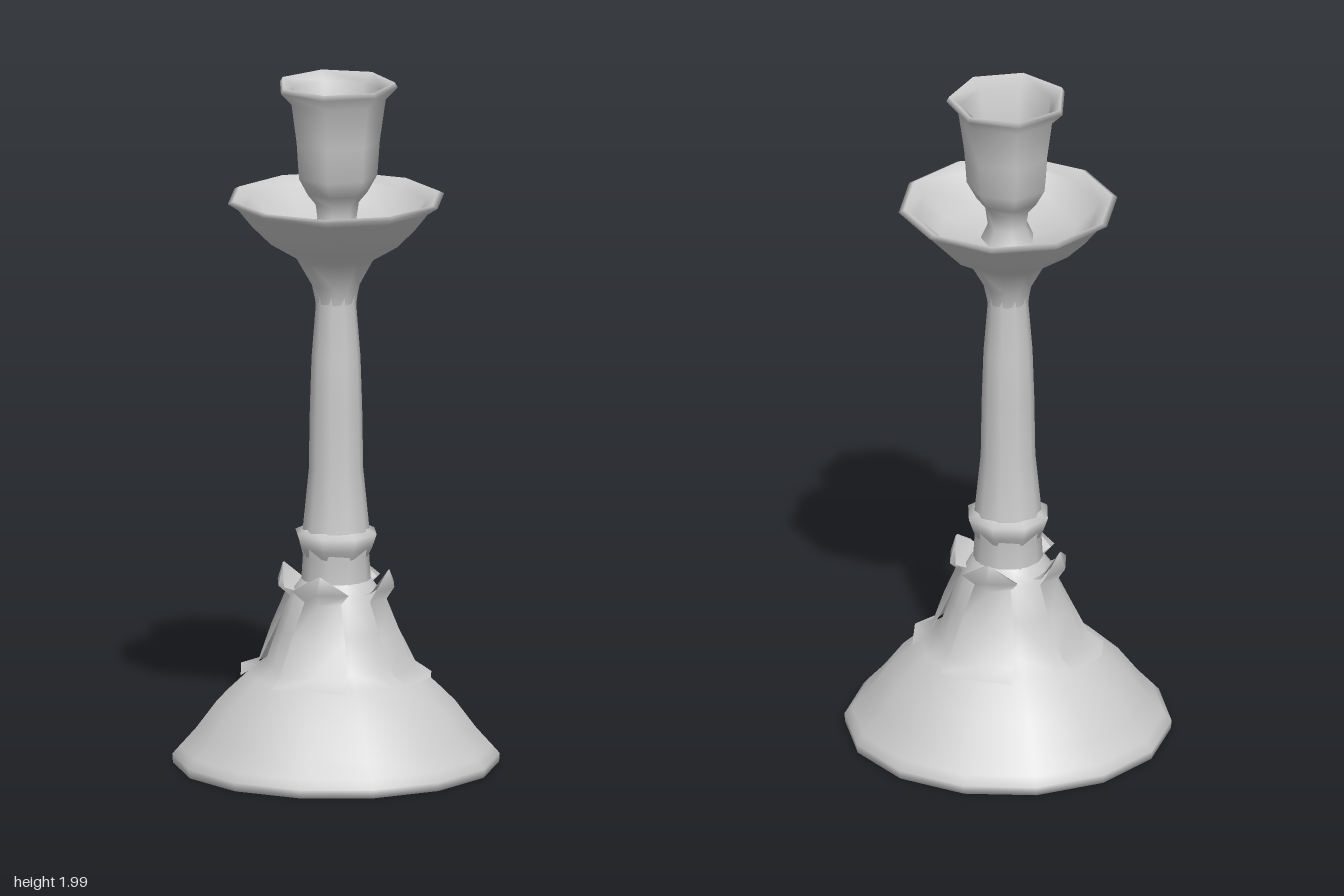
import * as THREE from 'three';

const material = new THREE.MeshStandardMaterial({ color: 0xcccccc, side: THREE.DoubleSide });

// Turned part from [radius, height] pairs
function turned(name, sides, phase, profile) {
  const points = profile.map(([r, y]) => new THREE.Vector2(r, y));
  const geometry = new THREE.LatheGeometry(points, sides, phase);
  const mesh = new THREE.Mesh(geometry, material);
  mesh.name = name;
  return mesh;
}

// Leaf strip facing +z from rows of [height, centre depth, edge depth, half width, edge lift]
function leafGeometry(rows) {
  const positions = [];
  const index = [];
  rows.forEach(([y, zMid, zEdge, w, lift], i) => {
    positions.push(-w, y + lift, zEdge, 0, y, zMid, w, y + lift, zEdge);
    if (i === 0) return;
    for (let k = 0; k < 2; k++) {
      const a = (i - 1) * 3 + k;
      const b = i * 3 + k;
      index.push(a, a + 1, b + 1, a, b + 1, b);
    }
  });
  const geometry = new THREE.BufferGeometry();
  geometry.setAttribute('position', new THREE.Float32BufferAttribute(positions, 3));
  geometry.setIndex(index);
  geometry.computeVertexNormals();
  return geometry;
}

export function createModel() {
  const model = new THREE.Group();
  model.name = 'candlestick';

  // Bell-shaped foot, hollow underneath
  model.add(turned('foot', 14, 0.1, [
    [0.44, 0.01], [0.465, 0.01], [0.467, 0.035], [0.445, 0.06], [0.4, 0.11],
    [0.34, 0.19], [0.25, 0.275], [0.2, 0.31], [0.165, 0.41], [0.13, 0.51], [0.1, 0.55],
  ]));
  model.add(turned('footHollow', 14, 0.1, [
    [0, 0.4], [0.12, 0.32], [0.3, 0.18], [0.44, 0.01],
  ]));

  // Stem with a pointed collar near its lower end
  model.add(turned('stem', 10, 0.1, [
    [0.1, 0.54], [0.095, 0.62], [0.105, 0.66], [0.095, 0.7], [0.078, 0.87],
    [0.075, 1.05], [0.07, 1.2], [0.058, 1.35], [0.065, 1.4],
  ]));
  const collar = turned('collar', 8, 0, [
    [0.095, 0.62], [0.108, 0.645], [0.122, 0.685], [0.088, 0.7],
  ]);
  model.add(collar);

  // Drip pan flaring out of the stem
  model.add(turned('dripPan', 10, 0.22, [
    [0.06, 1.36], [0.07, 1.41], [0.115, 1.49], [0.19, 1.535], [0.245, 1.59],
    [0.285, 1.64], [0.316, 1.66], [0.3, 1.668], [0.265, 1.645], [0.2, 1.575], [0.05, 1.55],
  ]));

  // Candle cup with an open socket
  model.add(turned('candleCup', 7, 0.11, [
    [0.08, 1.55], [0.058, 1.6], [0.065, 1.65], [0.09, 1.68], [0.118, 1.73],
    [0.125, 1.83], [0.142, 1.95], [0.176, 1.985], [0.168, 2], [0.135, 1.975],
    [0.11, 1.85], [0.09, 1.74], [0, 1.72],
  ]));

  // Four leaves hugging the foot, each with a curled tip and a flared hem
  const leaf = leafGeometry([
    [0.28, 0.285, 0.25, 0.11, -0.01],
    [0.3, 0.23, 0.205, 0.1, 0],
    [0.4, 0.195, 0.16, 0.08, 0],
    [0.5, 0.152, 0.12, 0.055, 0],
    [0.535, 0.175, 0.145, 0.085, 0],
    [0.585, 0.158, 0.158, 0.006, 0],
  ]);
  // Inner face of the tip folds back to the stem
  const fold = leafGeometry([
    [0.585, 0.158, 0.158, 0.006, 0],
    [0.53, 0.13, 0.13, 0.08, 0],
    [0.51, 0.09, 0.08, 0.05, 0],
  ]);
  for (let i = 0; i < 4; i++) {
    const group = new THREE.Group();
    group.name = 'leaf';
    group.add(new THREE.Mesh(leaf, material), new THREE.Mesh(fold, material));
    group.children[0].name = 'leafBlade';
    group.children[1].name = 'leafTipFold';
    group.rotation.y = i * Math.PI / 2;
    model.add(group);
  }
  return model;
}
